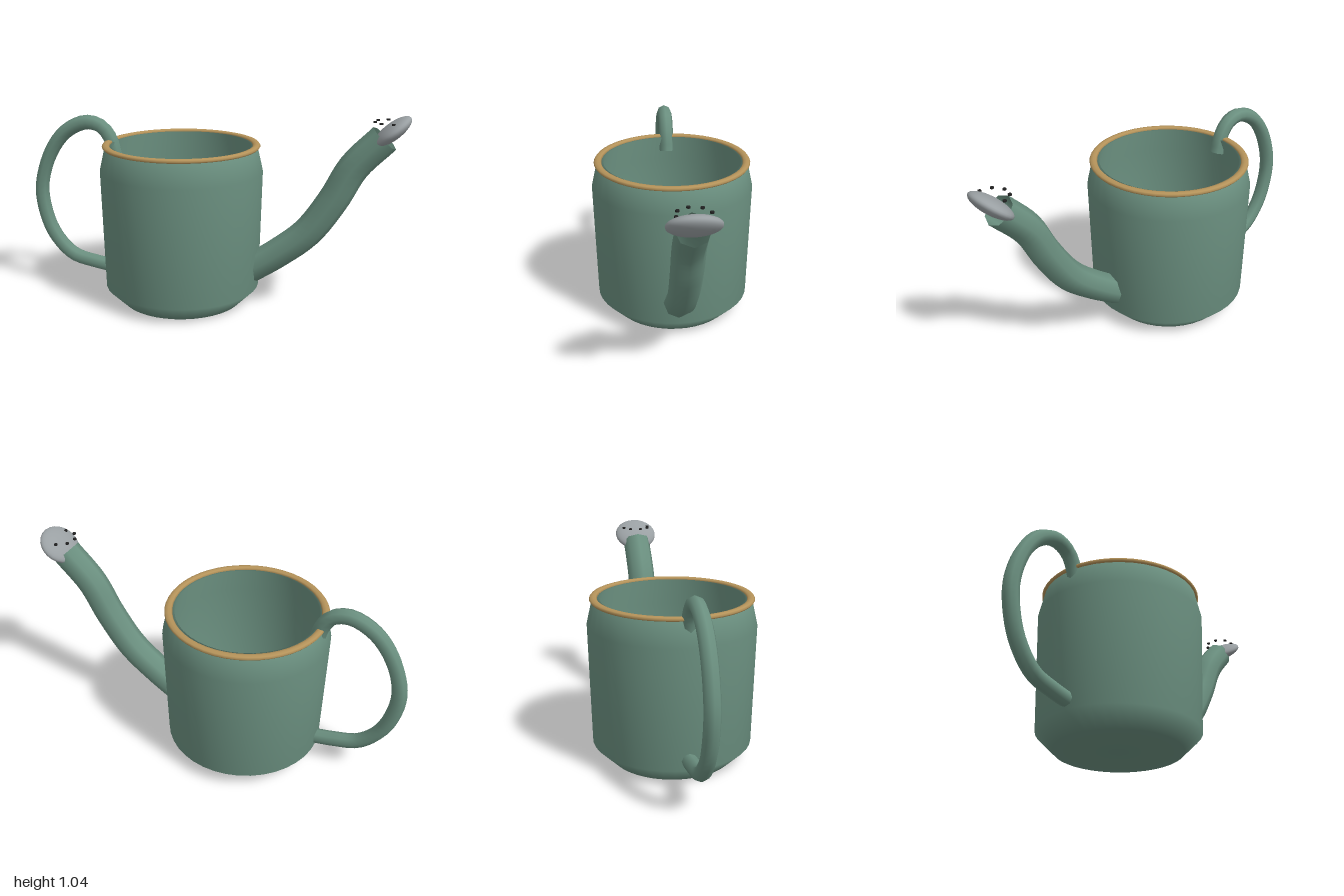
import * as THREE from 'three';

const BODY_X = -0.155;

function material(color) {
  return new THREE.MeshStandardMaterial({ color, side: THREE.DoubleSide });
}

function addMesh(parent, name, geometry, mat) {
  const mesh = new THREE.Mesh(geometry, mat);
  mesh.name = name;
  parent.add(mesh);
  return mesh;
}

// Octagonal, open-ended tube along a curve in the xy plane
function pipe(points, radius, segments) {
  const curve = new THREE.CatmullRomCurve3(points.map(([x, y]) => new THREE.Vector3(x, y, 0)));
  return new THREE.TubeGeometry(curve, segments, radius, 8, false);
}

export function createModel() {
  const group = new THREE.Group();
  group.name = 'wateringCan';
  const green = material(0x6b9080);
  const brass = material(0xb5935a);
  const steel = material(0x9aa0a3);
  const dark = material(0x222222);

  // Body: outer wall, lip, then inner wall and floor
  const profile = [
    [0, 0], [0.32, 0], [0.41, 0.09], [0.425, 0.71], [0.395, 0.84],
    [0.36, 0.84], [0.4, 0.7], [0.39, 0.1], [0.31, 0.02], [0, 0.02],
  ].map(([r, y]) => new THREE.Vector2(r, y));
  addMesh(group, 'body', new THREE.LatheGeometry(profile, 40), green).position.x = BODY_X;

  // Flattened ring around the opening
  const rim = addMesh(group, 'rim', new THREE.TorusGeometry(0.39, 0.02, 8, 48), brass);
  rim.rotation.x = Math.PI / 2;
  rim.scale.z = 0.6;
  rim.position.set(BODY_X, 0.84, 0);

  // Spout, starting just inside the wall
  addMesh(group, 'spout', pipe([
    [0.205, 0.185], [0.36, 0.29], [0.515, 0.42], [0.64, 0.6], [0.735, 0.775], [0.875, 0.925],
  ], 0.078, 24), green);

  // Handle loop, both ends passing through the wall
  addMesh(group, 'handle', pipe([
    [-0.52, 0.76], [-0.545, 0.85], [-0.595, 0.915], [-0.68, 0.935], [-0.8, 0.88], [-0.895, 0.76],
    [-0.955, 0.58], [-0.947, 0.44], [-0.895, 0.3], [-0.79, 0.19], [-0.66, 0.155], [-0.52, 0.135],
  ], 0.039, 40), green);

  // Sprinkler head
  const rose = addMesh(group, 'sprinklerHead', new THREE.SphereGeometry(1, 24, 16), steel);
  rose.scale.set(0.108, 0.04, 0.12);
  rose.rotation.z = THREE.MathUtils.degToRad(40);
  rose.position.set(0.911, 0.961, 0);

  // Ring of small dark holes
  const hole = new THREE.CylinderGeometry(0.009, 0.009, 0.008, 8);
  for (let i = 0; i < 8; i++) {
    const a = THREE.MathUtils.degToRad(78 + i * 45);
    addMesh(group, 'sprinklerHole', hole, dark)
      .position.set(0.9 + 0.076 * Math.cos(a), 1.006, 0.076 * Math.sin(a));
  }
  return group;
}
